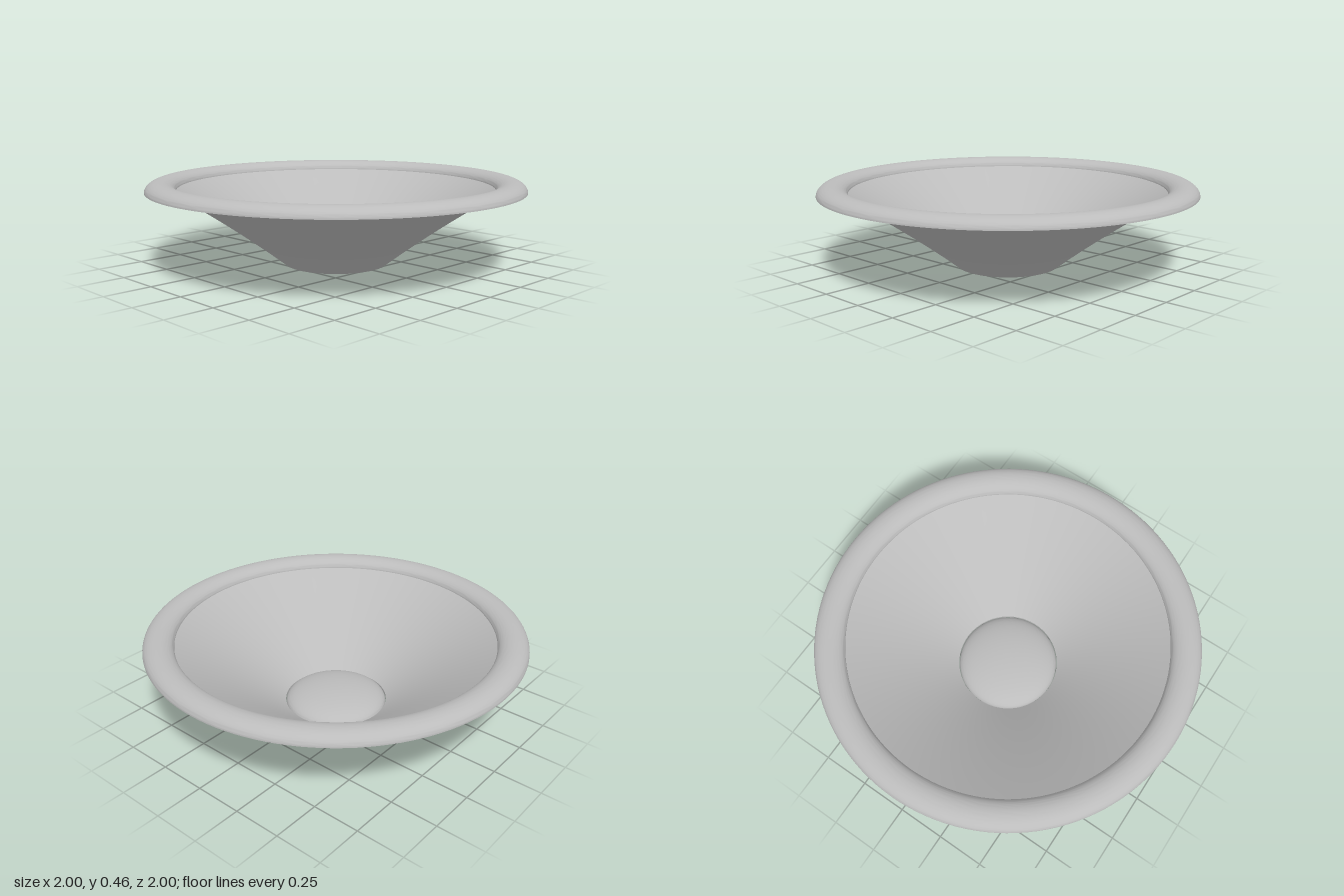
import * as THREE from 'three';
import { toCreasedNormals } from 'three/addons/utils/BufferGeometryUtils.js';

const SEGMENTS = 128;

export function createModel() {
  const group = new THREE.Group();
  const grey = new THREE.MeshStandardMaterial({ color: 0xbcbcbc });
  grey.name = 'light grey';

  // Spin an [r, y] profile around the y axis, keeping hard edges crisp
  const addLathe = (name, profile) => {
    const points = profile.map(([r, y]) => new THREE.Vector2(r, y));
    const geometry = toCreasedNormals(new THREE.LatheGeometry(points, SEGMENTS), 0.7);
    const mesh = new THREE.Mesh(geometry, grey);
    mesh.name = name;
    group.add(mesh);
  };

  // Points on an elliptical arc in the profile plane
  const arc = (cr, cy, rr, ry, from, to, n) =>
    Array.from({ length: n + 1 }, (_, i) => {
      const a = from + ((to - from) * i) / n;
      return [Math.max(0, cr + rr * Math.cos(a)), cy + ry * Math.sin(a)];
    });

  // Cone: thin, slightly flared wall, outer face up then inner face down
  const wall = new THREE.QuadraticBezierCurve(
    new THREE.Vector2(0.275, 0),
    new THREE.Vector2(0.54, 0.21),
    new THREE.Vector2(0.84, 0.4)
  ).getPoints(16).map((p) => [p.x, p.y]);
  const inner = wall.map(([r, y]) => [r, y + 0.012]).reverse();
  addLathe('cone', [...wall, ...inner, wall[0]]);

  // Surround: hollow half roll around the top of the cone
  const under = arc(0.92, 0.41, 0.07, 0.042, Math.PI, 0, 24);
  const over = arc(0.92, 0.41, 0.08, 0.052, 0, Math.PI, 32);
  addLathe('surround', [...under, ...over, under[0]]);

  // Dust cap: shallow dome closing the throat, with a flat base
  addLathe('dustCap', arc(0, 0, 0.272, 0.08, 0, Math.PI / 2, 24));
  addLathe('base', [[0, 0], [0.275, 0]]);

  return group;
}
